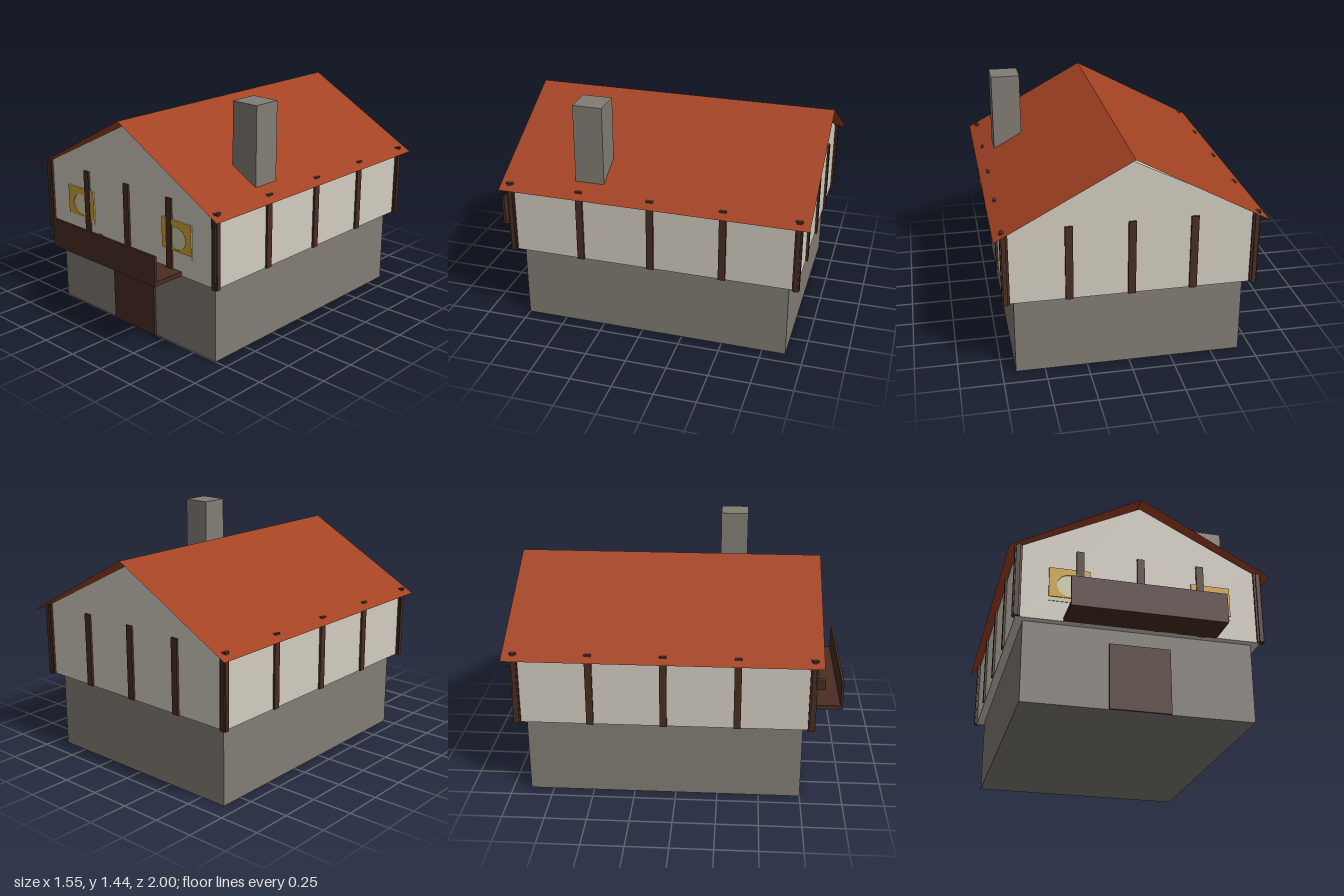
import * as THREE from 'three';

export function createModel() {
  const group = new THREE.Group();
  const mat = (name, color, side = THREE.FrontSide) => {
    const m = new THREE.MeshStandardMaterial({ color, side });
    m.name = name;
    return m;
  };
  const stone = mat('stone', 0x827d75);
  const plaster = mat('plaster', 0xd2cdc1);
  const timber = mat('darkTimber', 0x492d23);
  const tile = mat('roofTile', 0xa34222, THREE.DoubleSide);
  const curtainMat = mat('yellowCurtain', 0xd2a338);
  const glass = mat('paleGlass', 0xd0cfab);

  const add = (name, geometry, material) => {
    const mesh = new THREE.Mesh(geometry, material);
    mesh.name = name;
    group.add(mesh);
    return mesh;
  };
  // Box given by its minimum and maximum along each axis
  const box = (name, material, x0, x1, y0, y1, z0, z1) => {
    const g = new THREE.BoxGeometry(x1 - x0, y1 - y0, z1 - z0);
    g.translate((x0 + x1) / 2, (y0 + y1) / 2, (z0 + z1) / 2);
    return add(name, g, material);
  };

  const wallX = 0.7175, front = 0.795, back = -0.935;
  const floorY = 0.48, eaveY = 0.93;

  // Stone ground floor and door
  box('groundFloor', stone, -0.67, 0.67, 0, floorY, -0.89, 0.75);
  box('door', timber, -0.178, 0.178, 0, 0.39, 0.75, 0.765);

  // Upper floor with gables, extruded front to back
  const gable = new THREE.Shape([
    new THREE.Vector2(-wallX, floorY), new THREE.Vector2(wallX, floorY),
    new THREE.Vector2(wallX, 0.922), new THREE.Vector2(0, 1.284),
    new THREE.Vector2(-wallX, 0.922),
  ]);
  const upper = new THREE.ExtrudeGeometry(gable, { depth: front - back, bevelEnabled: false });
  upper.translate(0, 0, back);
  add('upperFloor', upper, plaster);

  // Thin roof slopes
  for (const s of [-1, 1]) {
    const run = 0.775, rise = 0.42;
    const slope = new THREE.PlaneGeometry(Math.hypot(run, rise), 1.85);
    slope.rotateX(-Math.PI / 2);
    slope.rotateZ(-s * Math.atan2(rise, run));
    slope.translate(s * run / 2, 1.315 - rise / 2, -0.075);
    add(s > 0 ? 'leftRoofSlope' : 'rightRoofSlope', slope, tile);
  }
  box('chimney', stone, 0.477, 0.655, 0.9, 1.435, 0.227, 0.403);

  // Timber posts on all four walls
  for (let i = -2; i <= 2; i++) {
    const x = i * 0.3575;
    for (const z of [front, back]) {
      box('gablePost', timber, x - 0.022, x + 0.022, floorY, eaveY, z - 0.0125, z + 0.0125);
    }
    const z = (front + back) / 2 + i * 0.4325;
    for (const s of [-1, 1]) {
      const c = s * wallX;
      box('sidePost', timber, c - 0.0125, c + 0.0125, floorY, eaveY, z - 0.021, z + 0.021);
    }
  }

  // Balcony with front panel and a small stool
  box('balconyFloor', timber, -0.447, 0.447, floorY, 0.507, 0.79, 1);
  box('balconyPanel', timber, -0.447, 0.447, floorY, 0.66, 0.986, 1);
  box('balconyStool', timber, -0.23, -0.195, 0.507, 0.567, 0.825, 0.91);

  // Windows: pale pane behind a curtain with an oval opening
  for (const s of [-1, 1]) {
    const cx = s * 0.418;
    box('windowPane', glass, cx - 0.118, cx + 0.118, 0.6, 0.808, 0.793, 0.799);
    const curtain = new THREE.Shape([
      new THREE.Vector2(-0.118, 0.625), new THREE.Vector2(0.118, 0.625),
      new THREE.Vector2(0.118, 0.808), new THREE.Vector2(-0.118, 0.808),
    ]);
    curtain.holes.push(new THREE.Path().absellipse(0, 0.702, 0.072, 0.068, 0, Math.PI * 2, true));
    const g = new THREE.ExtrudeGeometry(curtain, { depth: 0.005, bevelEnabled: false, curveSegments: 10 });
    g.translate(cx, 0, 0.799);
    add('curtain', g, curtainMat);
  }
  return group;
}
